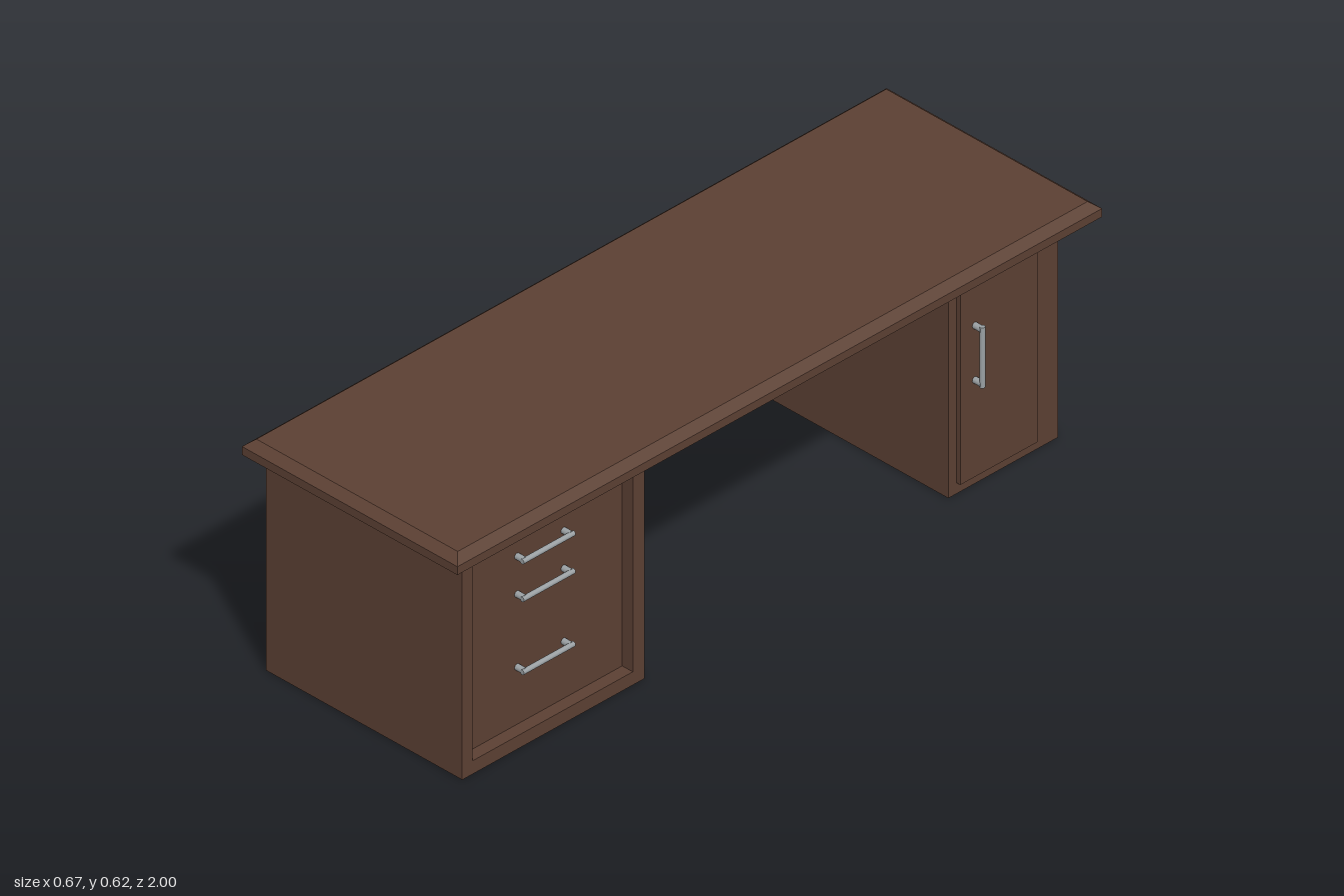
import * as THREE from 'three';

const wood = new THREE.MeshStandardMaterial({ color: 0x5c4033 });
wood.name = 'dark wood';
const metal = new THREE.MeshStandardMaterial({ color: 0x9aa0a3 });
metal.name = 'grey metal';

const UNDERSIDE = 0.577; // underside of the desktop

// Box given by its lower and upper corners
function block(name, [x0, y0, z0], [x1, y1, z1], material = wood) {
  const mesh = new THREE.Mesh(new THREE.BoxGeometry(x1 - x0, y1 - y0, z1 - z0), material);
  mesh.position.set((x0 + x1) / 2, (y0 + y1) / 2, (z0 + z1) / 2);
  mesh.name = name;
  return mesh;
}

// Slab with a vertical edge and a sloped border around the top
function desktop() {
  const geo = new THREE.BoxGeometry(0.67, 2, 2, 1, 2, 1);
  const p = geo.attributes.position;
  for (let i = 0; i < p.count; i++) {
    const level = Math.round(p.getY(i)) + 1;
    p.setY(i, [UNDERSIDE, 0.599, 0.618][level]);
    if (level === 2) {
      p.setX(i, Math.sign(p.getX(i)) * 0.313);
      p.setZ(i, Math.sign(p.getZ(i)) * 0.977);
    }
  }
  const flat = geo.toNonIndexed();
  flat.computeVertexNormals();
  const mesh = new THREE.Mesh(flat, wood);
  mesh.name = 'desktop';
  return mesh;
}

// Bar pull along z, standing out along +x on two posts
function handle(name) {
  const group = new THREE.Group();
  group.name = name;
  const length = 0.16, out = 0.03, r = 0.0065;
  const bar = new THREE.Mesh(new THREE.CylinderGeometry(r, r, length, 16), metal);
  bar.name = 'handleBar';
  bar.rotation.x = Math.PI / 2;
  bar.position.x = out - r;
  group.add(bar);
  for (const side of [-1, 1]) {
    const post = new THREE.Mesh(new THREE.CylinderGeometry(0.008, 0.008, out - r, 16), metal);
    post.name = 'handlePost';
    post.rotation.z = Math.PI / 2;
    post.position.set((out - r) / 2, 0, side * (length / 2 - 0.008));
    group.add(post);
  }
  return group;
}

// Wide pedestal with a recessed drawer front
function drawerPedestal() {
  const group = new THREE.Group();
  group.name = 'drawerPedestal';
  const back = -0.305, face = 0.272, rim = 0.305, z0 = 0.39, z1 = 0.955;
  group.add(
    block('drawerBody', [back, 0, z0], [face, UNDERSIDE, z1]),
    block('rimRight', [face, 0, z0], [rim, UNDERSIDE, z0 + 0.036]),
    block('rimLeft', [face, 0, z1 - 0.032], [rim, UNDERSIDE, z1]),
    block('rimBottom', [face, 0, z0 + 0.036], [rim, 0.035, z1 - 0.032])
  );
  for (const y of [0.48, 0.38, 0.187]) {
    const pull = handle('drawerHandle');
    pull.position.set(face, y, 0.68);
    group.add(pull);
  }
  return group;
}

// Narrow pedestal with a raised door
function doorPedestal() {
  const group = new THREE.Group();
  group.name = 'doorPedestal';
  const face = 0.273, doorFace = 0.285;
  group.add(
    block('cupboardBody', [-0.305, 0, -0.925], [face, UNDERSIDE, -0.585]),
    block('door', [face, 0.029, -0.85], [doorFace, 0.55, -0.61])
  );
  const pull = handle('doorHandle');
  pull.rotation.x = Math.PI / 2;
  pull.position.set(doorFace, 0.358, -0.655);
  group.add(pull);
  return group;
}

export function createModel() {
  const desk = new THREE.Group();
  desk.name = 'desk';
  desk.add(desktop(), drawerPedestal(), doorPedestal());
  return desk;
}
